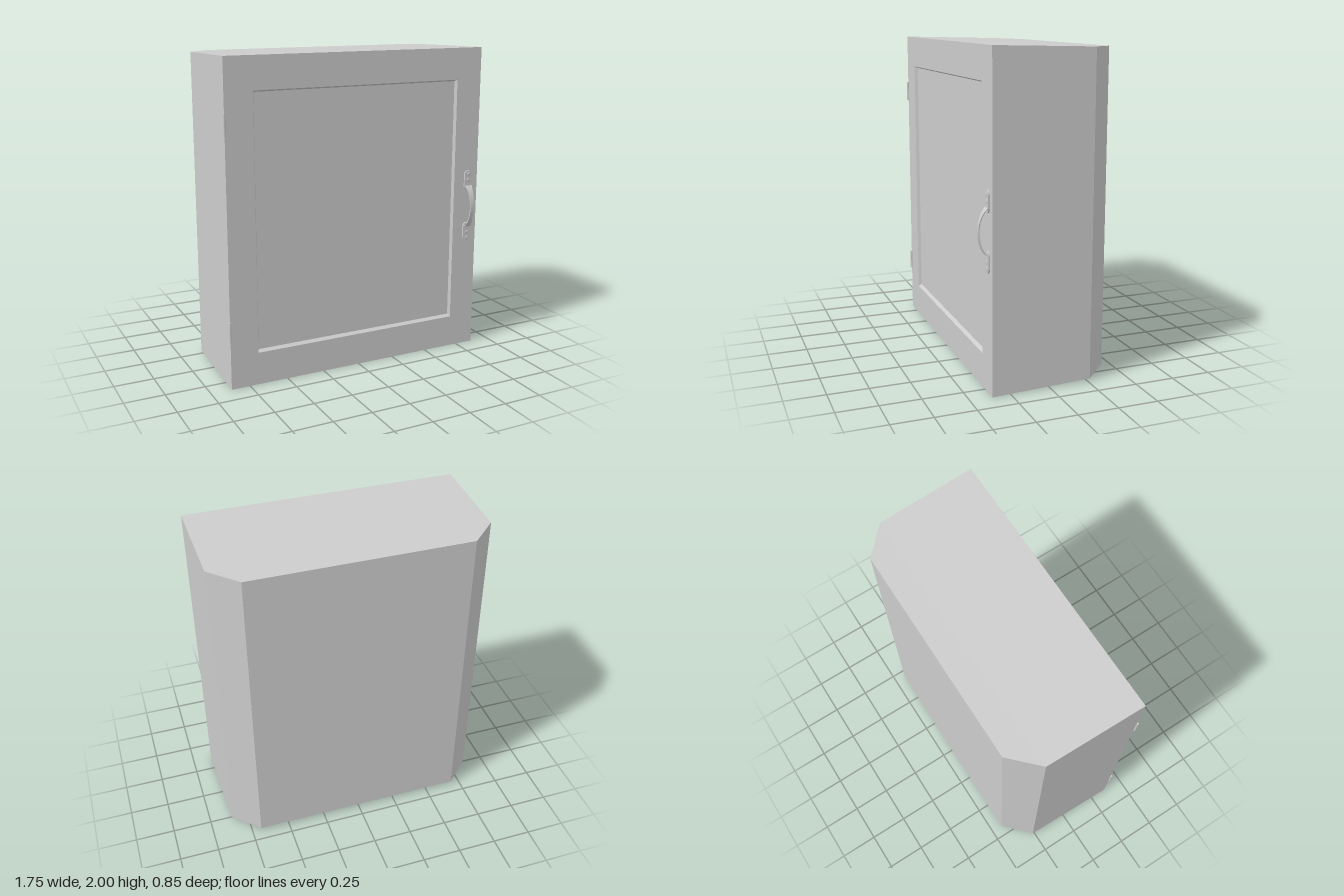
import * as THREE from 'three';

const painted = new THREE.MeshStandardMaterial({ color: 0xcccccc });
painted.name = 'light grey';

// Skin a list of equal-length rings (each counter-clockwise seen from the last ring's end), capping both ends.
function loft(rings) {
  const pos = [];
  const tri = (a, b, c) => pos.push(...a, ...b, ...c);
  const n = rings[0].length;
  for (let r = 0; r < rings.length - 1; r++) {
    for (let i = 0; i < n; i++) {
      const j = (i + 1) % n, A = rings[r], B = rings[r + 1];
      tri(A[i], A[j], B[j]);
      tri(A[i], B[j], B[i]);
    }
  }
  const first = rings[0], last = rings[rings.length - 1];
  for (let i = 1; i < n - 1; i++) {
    tri(first[0], first[i + 1], first[i]);
    tri(last[0], last[i], last[i + 1]);
  }
  const g = new THREE.BufferGeometry();
  g.setAttribute('position', new THREE.Float32BufferAttribute(pos, 3));
  g.computeVertexNormals();
  return g;
}

function add(parent, geometry, name, x = 0, y = 0, z = 0) {
  const mesh = new THREE.Mesh(geometry, painted);
  mesh.name = name;
  mesh.position.set(x, y, z);
  parent.add(mesh);
  return mesh;
}

const rect = (x0, x1, y0, y1, z) => [[x0, y0, z], [x1, y0, z], [x1, y1, z], [x0, y1, z]];
const FRONT = 0.363;

// Rounded plate outline, optionally used for the handle ends
function roundedPlate(w, h, r, depth) {
  const s = new THREE.Shape();
  const x = w / 2, y = h / 2;
  s.moveTo(-x + r, -y);
  s.lineTo(x - r, -y);
  s.absarc(x - r, -y + r, r, -Math.PI / 2, 0);
  s.absarc(x - r, y - r, r, 0, Math.PI / 2);
  s.absarc(-x + r, y - r, r, Math.PI / 2, Math.PI);
  s.absarc(-x + r, -y + r, r, Math.PI, Math.PI * 1.5);
  return new THREE.ExtrudeGeometry(s, { depth, bevelEnabled: false, curveSegments: 6 });
}

function createHandle() {
  const handle = new THREE.Group();
  handle.name = 'handle';
  const plateDepth = 0.01;
  for (const side of [-1, 1]) {
    add(handle, roundedPlate(0.06, 0.13, 0.026, plateDepth), 'handlePlate', 0, side * 0.175, 0);
    // Two domed screws per plate
    for (const d of [0.177, 0.216]) {
      const screw = add(handle, new THREE.SphereGeometry(0.014, 12, 4, 0, Math.PI * 2, 0, Math.PI / 2),
        'screw', 0, side * d, plateDepth);
      screw.rotation.x = Math.PI / 2;
      screw.scale.y = 0.2;
    }
  }
  // Arched grip, waisted in the middle
  const rings = [];
  const steps = 20;
  for (let i = 0; i <= steps; i++) {
    const t = (i / steps) * 2 - 1;
    const a = t * 1.0;
    const ny = Math.sin(a), nz = Math.cos(a);
    const ring = (k) => [0.145 * ny / Math.sin(1), 0.004 + 0.058 * (nz - Math.cos(1)) / (1 - Math.cos(1)) + k * nz];
    const half = 0.0125 + 0.0155 * Math.pow(Math.abs(t), 2.5);
    const [yi, zi] = ring(-0.007), [yo, zo] = ring(0.001);
    rings.push([[-half, yi, zi], [-half, yo, zo], [half, yo, zo], [half, yi, zi]]);
  }
  add(handle, loft(rings), 'handleGrip');
  return handle;
}

function createHinge() {
  const hinge = new THREE.Group();
  hinge.name = 'hinge';
  add(hinge, new THREE.CylinderGeometry(0.007, 0.007, 0.13, 12), 'hingePin', -0.001, 0, 0.004);
  add(hinge, new THREE.BoxGeometry(0.016, 0.13, 0.008), 'hingeLeaf', 0.009, 0, 0.002);
  return hinge;
}

export function createModel() {
  const model = new THREE.Group();
  model.name = 'wallCabinet';

  // Tapered body with chamfered back corners, then the front frame, sloped lip and recessed panel
  add(model, loft([
    rect(-0.688, 0.692, 0.02, 1.98, -0.426),
    rect(-0.855, 0.859, 0.016, 1.984, -0.263),
    rect(-0.869, 0.873, 0, 2, FRONT),
    rect(-0.692, 0.697, 0.206, 1.8, FRONT),
    rect(-0.682, 0.687, 0.221, 1.79, FRONT - 0.02),
  ]), 'cabinetBody');

  // Hinges on one edge of the door
  for (const y of [0.365, 1.615]) {
    const hinge = createHinge();
    hinge.position.set(-0.87, y, FRONT);
    model.add(hinge);
  }

  // Pull handle on the opposite edge
  const handle = createHandle();
  handle.position.set(0.802, 0.965, FRONT);
  model.add(handle);

  return model;
}
